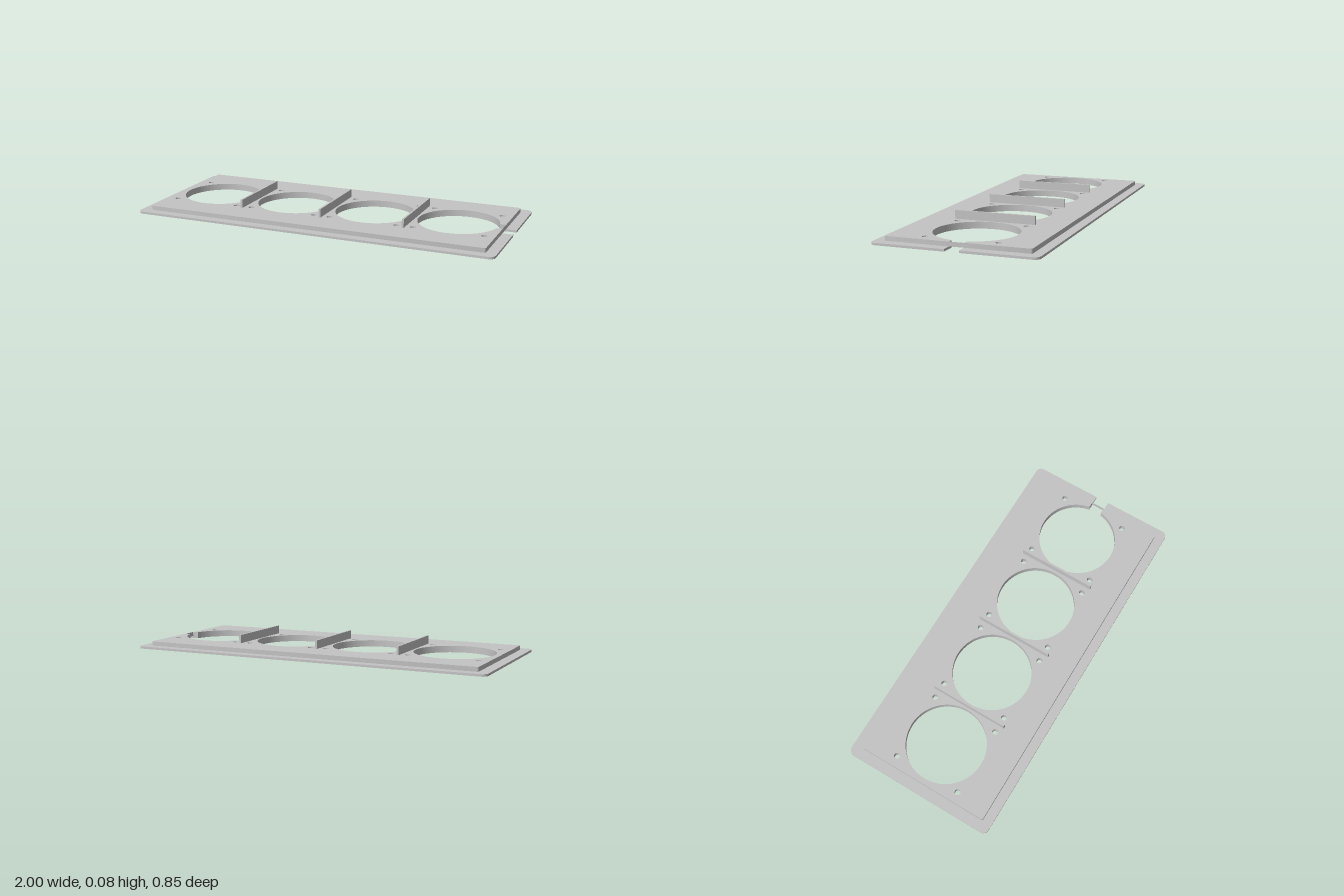
import * as THREE from 'three';
import { toCreasedNormals } from 'three/addons/utils/BufferGeometryUtils.js';

const SPACING = 0.4665, RADIUS = 0.2155, SLOT = 0.038;
const FLANGE_TOP = 0.012, PANEL_TOP = 0.0355, DIVIDER_TOP = 0.081, PANEL_X = 0.944;
const CENTERS = [-1.5, -0.5, 0.5, 1.5].map((i) => i * SPACING);

// Rounded plate with four large openings, screw holes and a cable slot at +x
function plateGeometry(hx, hz, corner, y0, y1) {
  const s = new THREE.Shape();
  const last = CENTERS[3];
  const a = Math.asin(SLOT / RADIUS);
  const cx = hx - corner, cz = hz - corner, q = Math.PI / 2;
  s.moveTo(hx, SLOT);
  s.lineTo(hx, cz);
  s.absarc(cx, cz, corner, 0, q, false);
  s.absarc(-cx, cz, corner, q, 2 * q, false);
  s.absarc(-cx, -cz, corner, 2 * q, 3 * q, false);
  s.absarc(cx, -cz, corner, 3 * q, 4 * q, false);
  s.lineTo(hx, -SLOT);
  // the slot opens into the last opening
  s.absarc(last, 0, RADIUS, -a, a, true);
  s.closePath();

  const hole = (x, z, r) => s.holes.push(new THREE.Path().absarc(x, z, r, 0, Math.PI * 2, true));
  CENTERS.forEach((x, i) => {
    if (i < 3) hole(x, 0, RADIUS);
    for (const sx of [-1, 1]) for (const sz of [-1, 1]) hole(x + sx * 0.188, sz * 0.188, 0.0155);
  });

  const g = new THREE.ExtrudeGeometry(s, { depth: y1 - y0, bevelEnabled: false, curveSegments: 32 });
  g.rotateX(-Math.PI / 2);
  g.translate(0, y0, 0);
  return toCreasedNormals(g, 0.6);
}

export function createModel() {
  const model = new THREE.Group();
  model.name = 'fanMountPlate';
  const grey = new THREE.MeshStandardMaterial({ color: 0xc4c4c4, side: THREE.DoubleSide });
  grey.name = 'lightGrey';

  const add = (name, geometry, x = 0, y = 0) => {
    const mesh = new THREE.Mesh(geometry, grey);
    mesh.name = name;
    mesh.position.set(x, y, 0);
    model.add(mesh);
  };

  // Wide flange below, raised panel above
  add('flange', plateGeometry(1, 0.426, 0.032, 0, FLANGE_TOP));
  add('raisedPanel', plateGeometry(PANEL_X, 0.374, 0.008, FLANGE_TOP, PANEL_TOP));

  // Thin skin across the slot, flush with the end of the panel
  const skin = new THREE.PlaneGeometry(SLOT * 2, PANEL_TOP - FLANGE_TOP).rotateY(Math.PI / 2);
  add('slotSkin', skin, PANEL_X, (PANEL_TOP + FLANGE_TOP) / 2);

  // Upright dividers between the openings
  for (const i of [-1, 0, 1]) {
    const divider = new THREE.BoxGeometry(0.011, DIVIDER_TOP - PANEL_TOP, 0.436);
    add('divider', divider, i * SPACING, (DIVIDER_TOP + PANEL_TOP) / 2);
  }
  return model;
}
